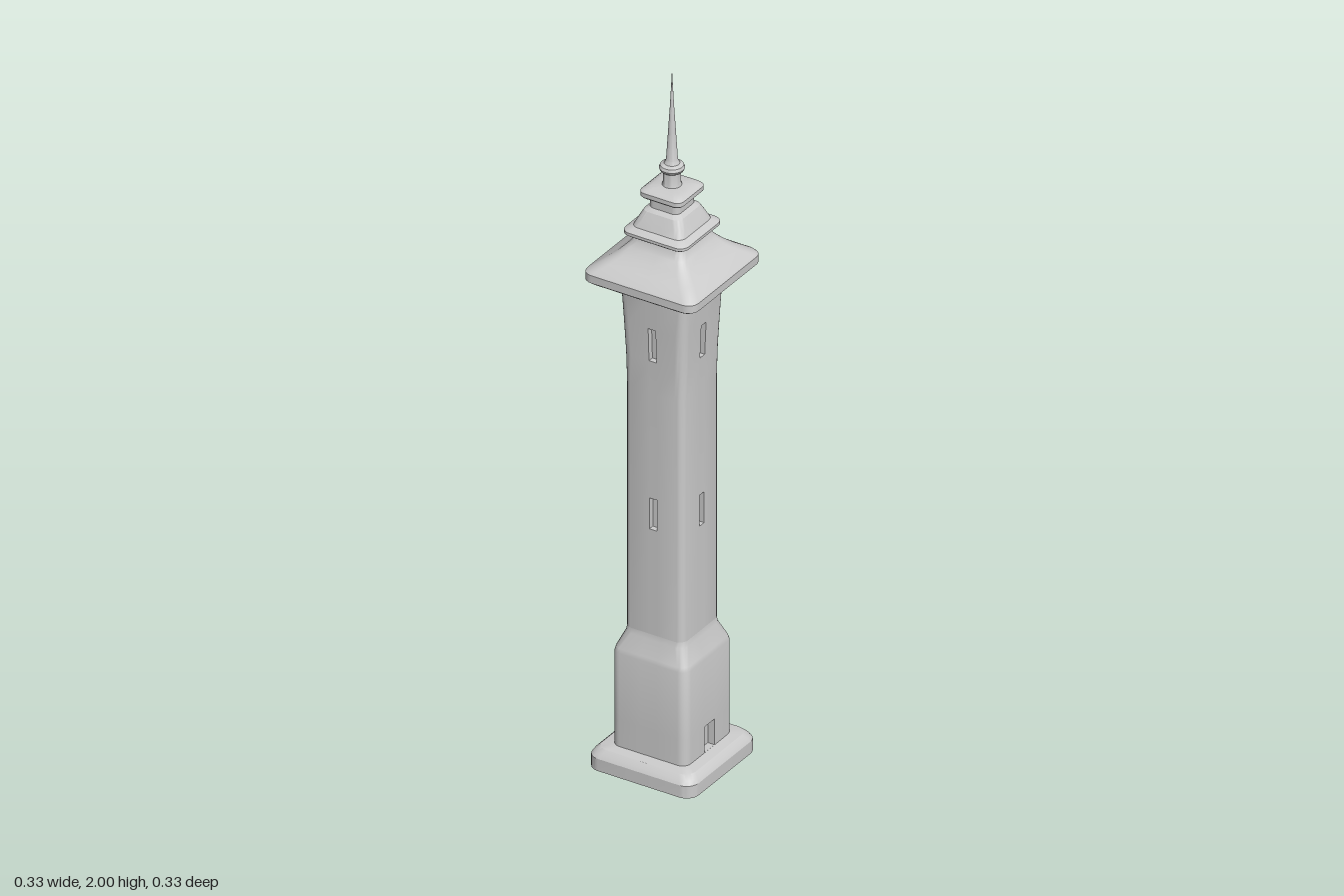
import * as THREE from 'three';
import { toCreasedNormals } from 'three/addons/utils/BufferGeometryUtils.js';

const material = new THREE.MeshStandardMaterial({ color: 0xcccccc, side: THREE.DoubleSide });
const ARC = 6;

// Rounded-square ring; each side starts with a flat strip of half-width w
function ring([y, half, r], w) {
  const points = [];
  const flat = Math.min(w, half - r);
  for (let side = 0; side < 4; side++) {
    const local = [[half, -flat], [half, flat]];
    for (let i = 0; i <= ARC; i++) {
      const a = (i / ARC) * Math.PI / 2;
      local.push([half - r + r * Math.cos(a), half - r + r * Math.sin(a)]);
    }
    const turn = side * Math.PI / 2, c = Math.cos(turn), s = Math.sin(turn);
    for (const [u, v] of local) points.push(new THREE.Vector3(u * c - v * s, y, -(u * s + v * c)));
  }
  return points;
}

// Skin of [y, half width, corner radius] levels; openings become recesses
function loft(name, levels, { w = 0.011, depth = 0.016, isOpen = () => false } = {}) {
  const rings = levels.map((level) => ring(level, w));
  const n = rings[0].length, perSide = n / 4, positions = [];
  const quad = (a, b, c, d) => {
    for (const p of [a, b, c, a, c, d]) positions.push(p.x, p.y, p.z);
  };
  for (let j = 0; j < rings.length - 1; j++) {
    for (let i = 0; i < n; i++) {
      const k = (i + 1) % n;
      const p = [rings[j][i], rings[j][k], rings[j + 1][k], rings[j + 1][i]];
      const side = Math.floor(i / perSide);
      if (i % perSide === 0 && isOpen(side, j)) {
        const a = side * Math.PI / 2;
        const inward = new THREE.Vector3(-Math.cos(a), 0, Math.sin(a)).multiplyScalar(depth);
        const q = p.map((v) => v.clone().add(inward));
        for (let e = 0; e < 4; e++) quad(p[e], p[(e + 1) % 4], q[(e + 1) % 4], q[e]);
        quad(...q);
      } else quad(...p);
    }
  }
  const geometry = new THREE.BufferGeometry();
  geometry.setAttribute('position', new THREE.Float32BufferAttribute(positions, 3));
  const mesh = new THREE.Mesh(toCreasedNormals(geometry, 0.5), material);
  mesh.name = name;
  return mesh;
}

export function createModel() {
  const tower = new THREE.Group();
  tower.name = 'tower';

  // Hollow plinth skirt
  tower.add(loft('plinth', [
    [0, 0.156, 0.035], [0.035, 0.156, 0.035], [0.045, 0.15, 0.034],
    [0.056, 0.138, 0.032], [0.06, 0.11, 0.025],
  ]));

  // Lower shaft with the doorway in its +x side
  tower.add(loft('lowerShaft', [
    [0.05, 0.111, 0.025], [0.06, 0.111, 0.025], [0.135, 0.111, 0.025],
    [0.33, 0.111, 0.025], [0.342, 0.108, 0.025], [0.385, 0.09, 0.025], [0.4, 0.088, 0.025],
  ], { w: 0.024, depth: 0.02, isOpen: (side, j) => side === 0 && j === 1 }));

  // Upper shaft with two slit windows in every side and a flared top
  tower.add(loft('upperShaft', [
    [0.4, 0.088, 0.025], [0.705, 0.088, 0.025], [0.795, 0.088, 0.025],
    [1.1, 0.088, 0.025], [1.195, 0.09, 0.025], [1.29, 0.094, 0.025], [1.375, 0.098, 0.025],
  ], { isOpen: (side, j) => j === 1 || j === 4 }));

  // Inner wall, open at the bottom and closed under the roof
  tower.add(loft('innerWall', [
    [0.05, 0.111, 0.025], [0.05, 0.082, 0.02], [0.34, 0.082, 0.02],
    [0.39, 0.068, 0.02], [1.37, 0.068, 0.02], [1.37, 0.001, 0],
  ]));

  // Main roof: flared soffit, upright rim, concave slope
  tower.add(loft('mainRoof', [
    [1.37, 0.096, 0.025], [1.385, 0.11, 0.027], [1.412, 0.158, 0.03], [1.418, 0.165, 0.03],
    [1.44, 0.165, 0.03], [1.446, 0.16, 0.03], [1.465, 0.131, 0.028], [1.485, 0.106, 0.026],
    [1.505, 0.087, 0.024], [1.518, 0.078, 0.022], [1.53, 0.075, 0.022],
  ]));

  // Middle roof
  tower.add(loft('middleRoof', [
    [1.528, 0.073, 0.022], [1.536, 0.088, 0.025], [1.541, 0.094, 0.026], [1.549, 0.094, 0.026],
    [1.555, 0.086, 0.025], [1.56, 0.076, 0.023], [1.58, 0.067, 0.021], [1.602, 0.056, 0.019],
    [1.61, 0.044, 0.016],
  ]));

  // Neck and top roof
  tower.add(loft('topRoof', [
    [1.61, 0.044, 0.016], [1.635, 0.044, 0.016], [1.64, 0.058, 0.018], [1.645, 0.063, 0.02],
    [1.657, 0.063, 0.02], [1.663, 0.056, 0.018], [1.668, 0.042, 0.016], [1.668, 0.01, 0.005],
  ]));

  // Round finial with collar and needle spire
  const profile = [
    [0.026, 1.665], [0.023, 1.675], [0.023, 1.705], [0.03, 1.71], [0.033, 1.717],
    [0.03, 1.725], [0.02, 1.73], [0.015, 1.74], [0.01, 1.82], [0.005, 1.9], [0, 2],
  ].map(([r, y]) => new THREE.Vector2(r, y));
  const finial = new THREE.Mesh(toCreasedNormals(new THREE.LatheGeometry(profile, 24), 0.6), material);
  finial.name = 'finial';
  tower.add(finial);

  return tower;
}
